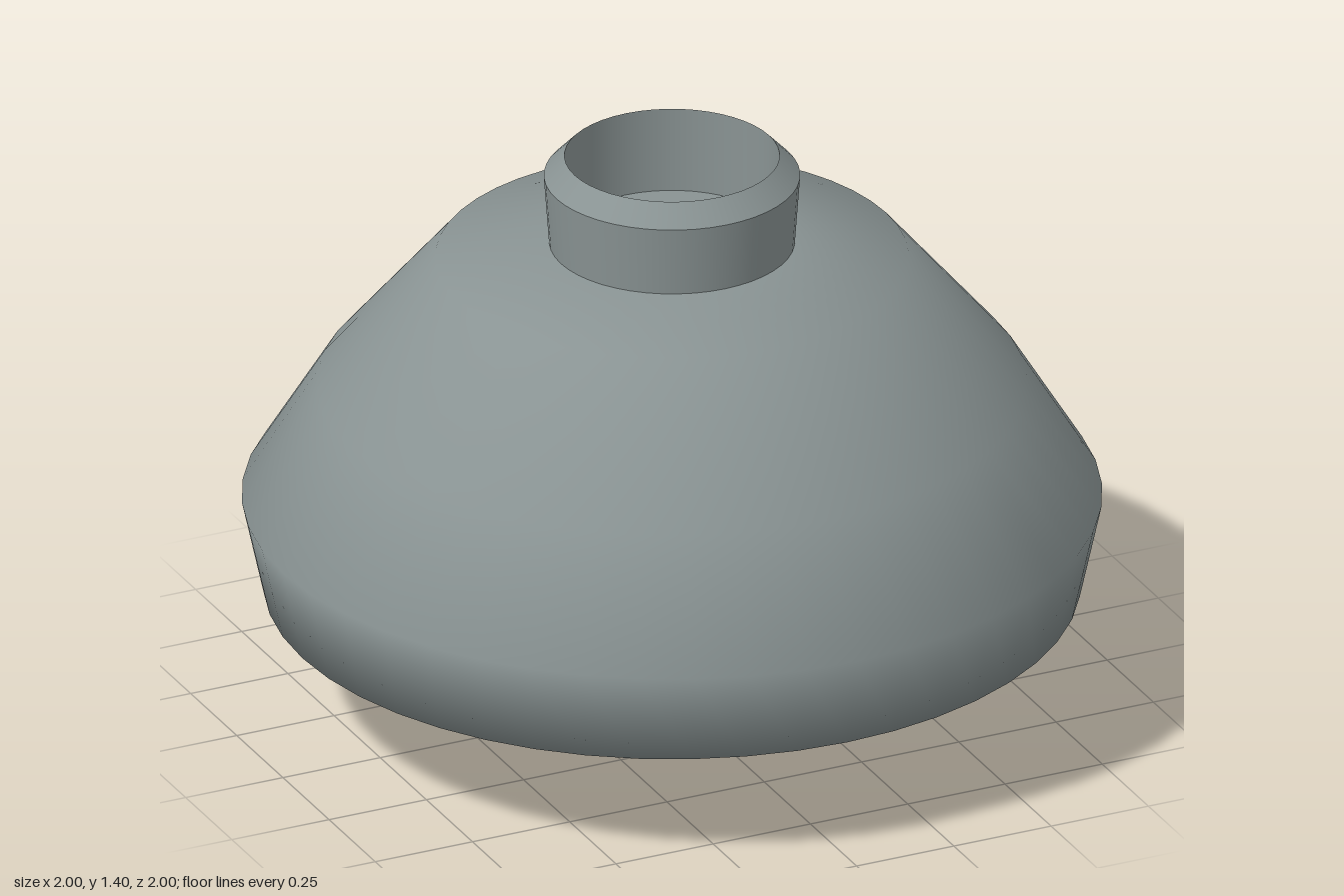
import * as THREE from 'three';

const SEGMENTS = 48;

export function createModel() {
  const group = new THREE.Group();
  const grey = new THREE.MeshStandardMaterial({ color: 0x899393 });
  grey.name = 'slate grey';

  function add(name, geometry) {
    const mesh = new THREE.Mesh(geometry, grey);
    mesh.name = name;
    group.add(mesh);
    return mesh;
  }

  // Profiles run bottom to top outside, then down inside, so faces point outward
  function turned(name, profile) {
    const points = profile.map(([r, y]) => new THREE.Vector2(r, y));
    return add(name, new THREE.LatheGeometry(points, SEGMENTS));
  }

  // Bell-shaped body, softly shaded round to its closed underside
  turned('body', [
    [0, 0.3], [0.95, 0.3], [1, 0.53], [0.825, 0.815], [0.55, 1.14], [0.285, 1.18],
  ]);

  // Collar on top, split at its sharp edges
  turned('collarWall', [[0.285, 1.17], [0.298, 1.35]]);
  turned('collarBevel', [[0.298, 1.35], [0.25, 1.4]]);
  turned('collarInside', [[0.25, 1.4], [0.25, 1.19]]);
  turned('collarFloor', [[0.25, 1.19], [0.12, 1.19]]);
  turned('collarPit', [[0.12, 1.19], [0.1, 1.13], [0.06, 1.09], [0, 1.07]]);

  // Off-centre round clapper with an eight-sided section
  add('clapper', new THREE.TorusGeometry(0.13, 0.232, 8, SEGMENTS))
    .position.set(0.32, 0.365, 0);

  return group;
}
